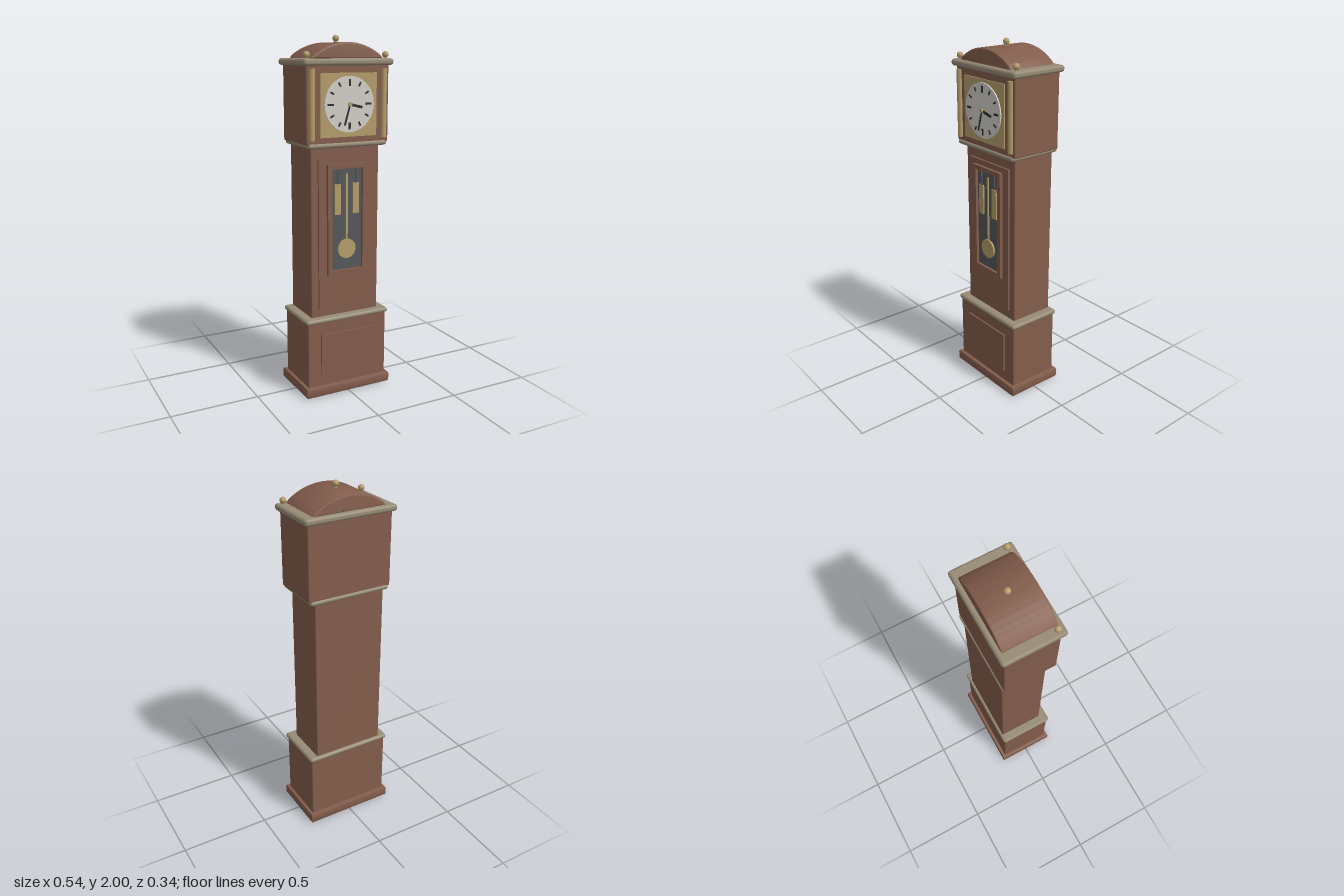
import * as THREE from 'three';
import { toCreasedNormals } from 'three/addons/utils/BufferGeometryUtils.js';
import { RoundedBoxGeometry } from 'three/addons/geometries/RoundedBoxGeometry.js';

export function createModel() {
  const clock = new THREE.Group();
  clock.name = 'longcaseClock';
  const mat = (name, color) => {
    const m = new THREE.MeshStandardMaterial({ color });
    m.name = name;
    return m;
  };
  const wood = mat('wood', 0x835d4c);
  const trim = mat('trim', 0x978b76);
  const brass = mat('brass', 0xb59d6b);
  const ivory = mat('ivory', 0xd2cfc7);
  const glass = mat('darkGlass', 0x55575a);
  const black = mat('black', 0x2f2f31);

  const add = (name, geo, material, x = 0, y = 0, z = 0) => {
    const mesh = new THREE.Mesh(geo, material);
    mesh.name = name;
    mesh.position.set(x, y, z);
    clock.add(mesh);
    return mesh;
  };
  // Box spanning y0..y1 and z0..z1; r rounds its edges
  const block = (name, material, x, w, y0, y1, z0, z1, r = 0) => {
    const h = y1 - y0, d = z1 - z0;
    const geo = r ? new RoundedBoxGeometry(w, h, d, 1, r) : new THREE.BoxGeometry(w, h, d);
    return add(name, geo, material, x, (y0 + y1) / 2, (z0 + z1) / 2);
  };
  const rect = (T, w, h, cy = 0) => {
    const s = new T();
    s.moveTo(-w / 2, cy - h / 2);
    s.lineTo(w / 2, cy - h / 2);
    s.lineTo(w / 2, cy + h / 2);
    s.lineTo(-w / 2, cy + h / 2);
    s.closePath();
    return s;
  };
  // Disc facing the front
  const disc = (name, material, r, y, z0, z1, sides = 32) => {
    const geo = new THREE.CylinderGeometry(r, r, z1 - z0, sides).rotateX(Math.PI / 2);
    return add(name, geo, material, 0, y, (z0 + z1) / 2);
  };

  // Hollow plinth with rounded edges
  const ring = rect(THREE.Shape, 0.51, 0.32);
  ring.holes.push(rect(THREE.Path, 0.486, 0.296));
  const plinth = new THREE.ExtrudeGeometry(ring, {
    depth: 0.04, bevelEnabled: true, bevelSize: 0.01, bevelThickness: 0.01, bevelSegments: 2,
  }).rotateX(-Math.PI / 2);
  add('plinth', toCreasedNormals(plinth, 0.7), wood, 0, 0.01, -0.002);

  // Case bodies and the mouldings between them
  block('base', wood, 0, 0.494, 0.05, 0.44, -0.152, 0.148, 0.006);
  block('baseMoulding', trim, 0, 0.518, 0.432, 0.46, -0.163, 0.159, 0.0135);
  block('trunk', wood, 0, 0.418, 0.45, 1.42, -0.147, 0.113, 0.006);
  block('hoodMoulding', trim, 0, 0.476, 1.41, 1.438, -0.159, 0.155, 0.0135);
  block('hood', wood, 0, 0.494, 1.43, 1.845, -0.152, 0.146, 0.006);
  block('cornice', trim, 0, 0.536, 1.84, 1.877, -0.172, 0.169, 0.015);

  // Arched top
  const half = 0.2, rise = 0.07, R = (half * half + rise * rise) / (2 * rise);
  const a = Math.asin(half / R);
  const arch = new THREE.Shape();
  arch.moveTo(-half, 0);
  arch.lineTo(half, 0);
  arch.absarc(0, rise - R, R, Math.PI / 2 - a, Math.PI / 2 + a, false);
  const archGeo = new THREE.ExtrudeGeometry(arch, {
    depth: 0.27, curveSegments: 24,
    bevelEnabled: true, bevelSize: 0.01, bevelThickness: 0.01, bevelSegments: 2,
  });
  add('archedTop', toCreasedNormals(archGeo, 0.7), wood, 0, 1.88, -0.135);

  // Ball finials on short necks
  for (const [x, y, z] of [[0, 1.981, 0], [-0.235, 1.896, 0.128], [0.235, 1.896, 0.128]]) {
    add('finialBall', new THREE.SphereGeometry(0.018, 10, 8), brass, x, y, z);
    add('finialNeck', new THREE.CylinderGeometry(0.009, 0.012, 0.03, 10), brass, x, y - 0.022, z);
  }

  // Hood columns
  for (const s of [-1, 1]) {
    add('column', new THREE.CylinderGeometry(0.017, 0.017, 0.37, 12), brass, s * 0.216, 1.64, 0.147);
  }

  // Dial
  const cy = 1.639;
  block('dialPlate', brass, 0, 0.338, 1.467, 1.803, 0.144, 0.153);
  disc('dial', ivory, 0.148, cy, 0.152, 0.16, 40);
  for (let i = 0; i < 12; i++) {
    const t = (i * Math.PI) / 6, len = i % 3 ? 0.024 : 0.036, r = 0.132 - len / 2;
    const mark = add('hourMark', new THREE.BoxGeometry(i % 3 ? 0.009 : 0.011, len, 0.004), black,
      Math.sin(t) * r, cy + Math.cos(t) * r, 0.161);
    mark.rotation.z = -t;
  }
  // Hands: angle is clockwise from twelve
  const hand = (name, angle, len, w, z) => {
    const geo = new THREE.BoxGeometry(w, len, 0.003).translate(0, len / 2 - 0.008, 0);
    add(name, geo, black, 0, cy, z).rotation.z = -angle;
  };
  hand('hourHand', 1.8, 0.085, 0.014, 0.163);
  hand('minuteHand', 3.42, 0.122, 0.01, 0.166);
  disc('handHub', brass, 0.011, cy, 0.16, 0.172, 12);

  // Trunk door with a framed window
  block('door', wood, 0, 0.335, 0.51, 1.35, 0.108, 0.125);
  const frame = rect(THREE.Shape, 0.24, 0.62, 1.01);
  frame.holes.push(rect(THREE.Path, 0.188, 0.57, 1.009));
  add('windowFrame', new THREE.ExtrudeGeometry(frame, { depth: 0.02, bevelEnabled: false }), wood, 0, 0, 0.123);
  block('windowGlass', glass, 0, 0.19, 0.722, 1.296, 0.122, 0.127);

  // Weights and pendulum
  for (const s of [-1, 1]) {
    block('weight', brass, s * 0.056, 0.038, 1.04, 1.21, 0.126, 0.135);
    block('weightCord', glass, s * 0.056, 0.007, 1.21, 1.294, 0.126, 0.135);
  }
  block('pendulumRod', brass, 0, 0.011, 0.86, 1.265, 0.126, 0.134);
  disc('pendulumBob', brass, 0.055, 0.843, 0.126, 0.137);

  // Raised panel on the base
  block('basePanel', wood, 0, 0.338, 0.127, 0.365, 0.143, 0.158);

  return clock;
}
